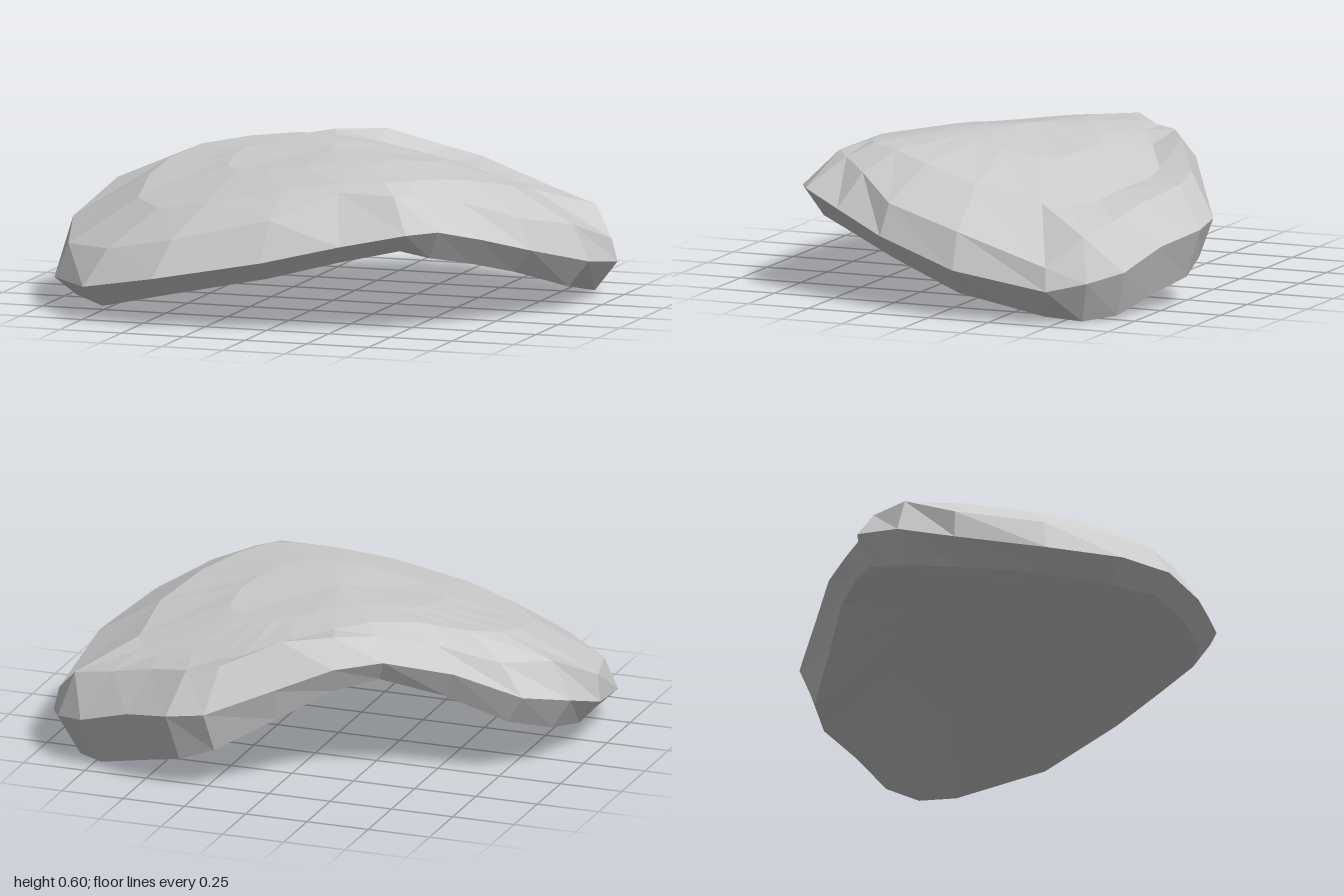
import * as THREE from 'three';

// Stations round the slab: x, z, rim height, shoulder inset, shoulder height, underside lip height
const STATIONS = [
  [0.66, 0.66, 0.41, 0.18, 0.52, 0.30],
  [0.55, 0.72, 0.40, 0.16, 0.53, 0.33],
  [0.30, 0.77, 0.35, 0.23, 0.53, 0.28],
  [0.00, 0.83, 0.28, 0.12, 0.43, 0.21],
  [-0.43, 0.855, 0.20, 0.11, 0.34, 0.13],
  [-0.74, 0.77, 0.14, 0.10, 0.28, 0.06],
  [-0.94, 0.53, 0.13, 0.05, 0.26, 0.06],
  [-1.00, 0.18, 0.20, 0.01, 0.31, 0.11],
  [-0.97, -0.06, 0.28, 0.08, 0.43, 0.16],
  [-0.85, -0.26, 0.34, 0.12, 0.46, 0.23],
  [-0.60, -0.34, 0.43, 0.15, 0.52, 0.33],
  [-0.36, -0.47, 0.49, 0.15, 0.57, 0.41],
  [-0.20, -0.59, 0.48, 0.13, 0.585, 0.38],
  [0.00, -0.71, 0.41, 0.13, 0.58, 0.28],
  [0.23, -0.85, 0.33, 0.12, 0.50, 0.17],
  [0.38, -0.86, 0.31, 0.12, 0.47, 0.12],
  [0.57, -0.78, 0.27, 0.12, 0.43, 0.07],
  [0.78, -0.72, 0.20, 0.12, 0.38, 0.02],
  [0.91, -0.62, 0.17, 0.06, 0.34, 0.01],
  [0.98, -0.48, 0.14, 0.02, 0.23, 0.03],
  [1.00, -0.10, 0.20, 0.06, 0.34, 0.10],
  [0.89, 0.25, 0.29, 0.06, 0.41, 0.20],
  [0.77, 0.48, 0.36, 0.13, 0.49, 0.26],
];

// The slab bends down on both sides of a diagonal ridge
const across = (x, z) => Math.abs(x - z) / Math.SQRT2;
const along = (x, z) => (x + z) / Math.SQRT2;
const topHeight = (x, z) => {
  const v = along(x, z);
  return 0.605 - 0.30 * across(x, z) ** 1.7 - (v > 0 ? 0.09 : 0.04) * v * v;
};
const underHeight = (x, z) => 0.365 - 0.33 * across(x, z) ** 1.2 - 0.07 * along(x, z);

// A ring of points: the outline scaled towards the middle, with a height rule
const ring = (scale, height) => STATIONS.map((s) => {
  const k = typeof scale === 'function' ? scale(s) : scale;
  const x = s[0] * k, z = s[1] * k;
  return [x, height(x, z, s), z];
});

function slabGeometry() {
  const rings = [
    ring(0.38, topHeight),
    ring(0.7, topHeight),
    ring((s) => 1 - s[3], (x, z, s) => s[4]),
    ring(1, (x, z, s) => s[2]),
    ring(0.92, (x, z, s) => s[5]),
    ring(0.55, underHeight),
  ];
  const n = STATIONS.length;
  const positions = [];
  const tri = (a, b, c) => positions.push(...a, ...b, ...c);
  const topCentre = [0, topHeight(0, 0), 0];
  const underCentre = [0, underHeight(0, 0), 0];
  for (let i = 0; i < n; i++) {
    const j = (i + 1) % n;
    tri(topCentre, rings[0][j], rings[0][i]);
    for (let r = 0; r < rings.length - 1; r++) {
      const a = rings[r], b = rings[r + 1];
      tri(a[i], a[j], b[i]);
      tri(a[j], b[j], b[i]);
    }
    const last = rings[rings.length - 1];
    tri(underCentre, last[i], last[j]);
  }
  const geometry = new THREE.BufferGeometry();
  geometry.setAttribute('position', new THREE.Float32BufferAttribute(positions, 3));
  geometry.computeVertexNormals(); // unshared corners give flat facets
  return geometry;
}

export function createModel() {
  const stone = new THREE.MeshStandardMaterial({ color: 0xcccccc });
  stone.name = 'stone grey';
  const slab = new THREE.Mesh(slabGeometry(), stone);
  slab.name = 'archedRock';
  const group = new THREE.Group();
  group.name = 'rock';
  group.add(slab);
  return group;
}
